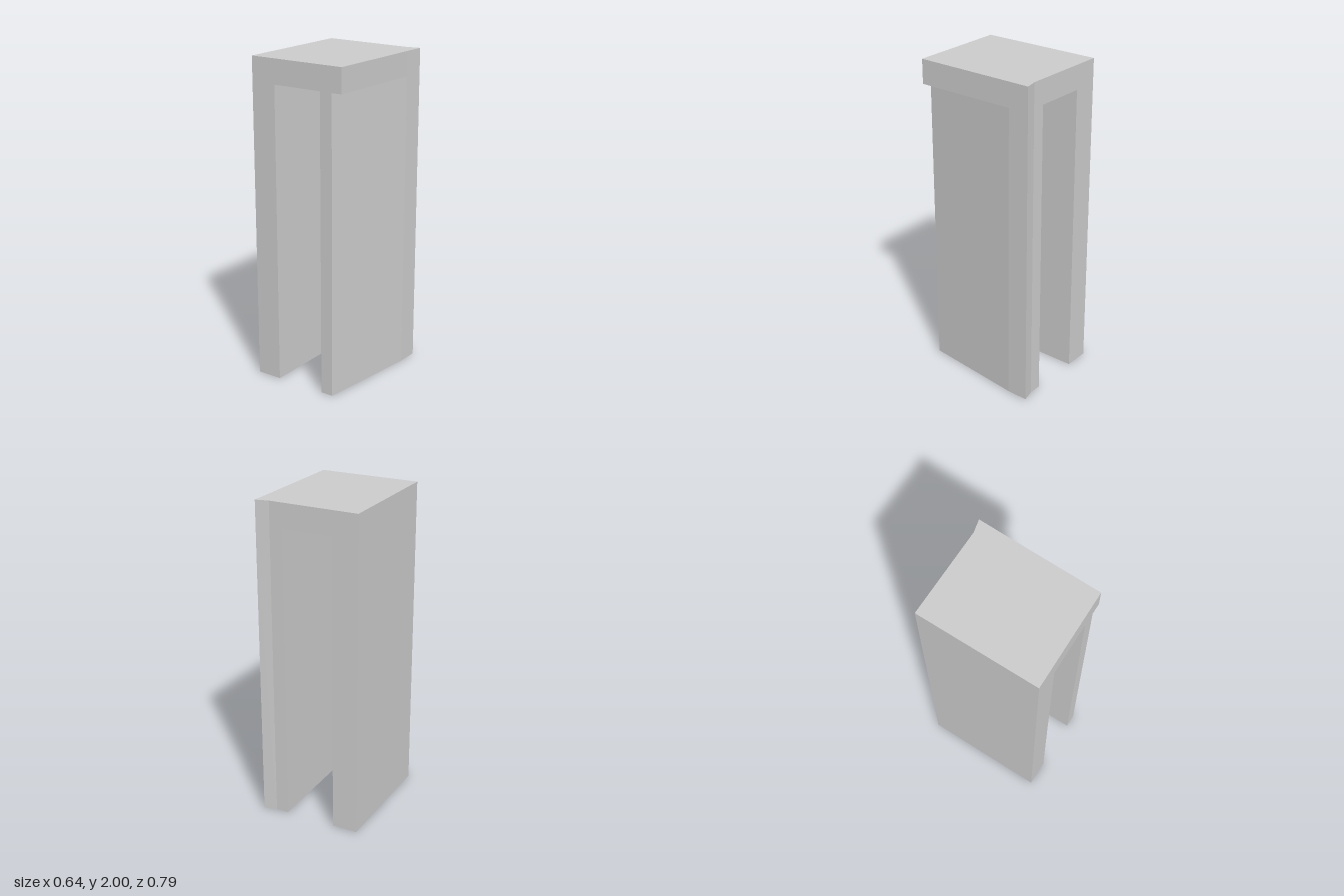
import * as THREE from 'three';

const HEIGHT = 2;
const UNDERSIDE = 1.85;

// The front face is slightly skewed in plan
const frontZ = (x) => 0.392 - 0.0144 * (x + 0.32);

// Extrude a plan outline of [x, z] corners from y0 up to y1
function prism(name, plan, y0, y1, material) {
  const shape = new THREE.Shape(plan.map(([x, z]) => new THREE.Vector2(x, -z)));
  const geometry = new THREE.ExtrudeGeometry(shape, { depth: y1 - y0, bevelEnabled: false });
  geometry.rotateX(-Math.PI / 2).translate(0, y0, 0);
  const mesh = new THREE.Mesh(geometry, material);
  mesh.name = name;
  return mesh;
}

export function createModel() {
  const group = new THREE.Group();
  group.name = 'archBlock';
  const material = new THREE.MeshStandardMaterial({ color: 0xcccccc, flatShading: true });
  const back = -0.375;
  const corner = [0.32, -0.394]; // pulled-out back corner

  // Straight wall
  group.add(prism('rightWall', [
    [-0.32, frontZ(-0.32)], [-0.16, frontZ(-0.16)], [-0.16, back], [-0.32, back],
  ], 0, UNDERSIDE, material));

  // Wedge wall, thickening toward the back until it meets the roof edge
  group.add(prism('leftWall', [
    [0.16, frontZ(0.16)], [0.24, frontZ(0.24)], [0.317, -0.26], corner, [0.24, back], [0.16, back],
  ], 0, UNDERSIDE, material));

  // Roof slab, overhanging the wedge wall at the front
  group.add(prism('roof', [
    [-0.32, frontZ(-0.32)], [0.307, frontZ(0.307)], [0.317, -0.26], corner, [0.24, back], [-0.32, back],
  ], UNDERSIDE, HEIGHT, material));

  return group;
}
